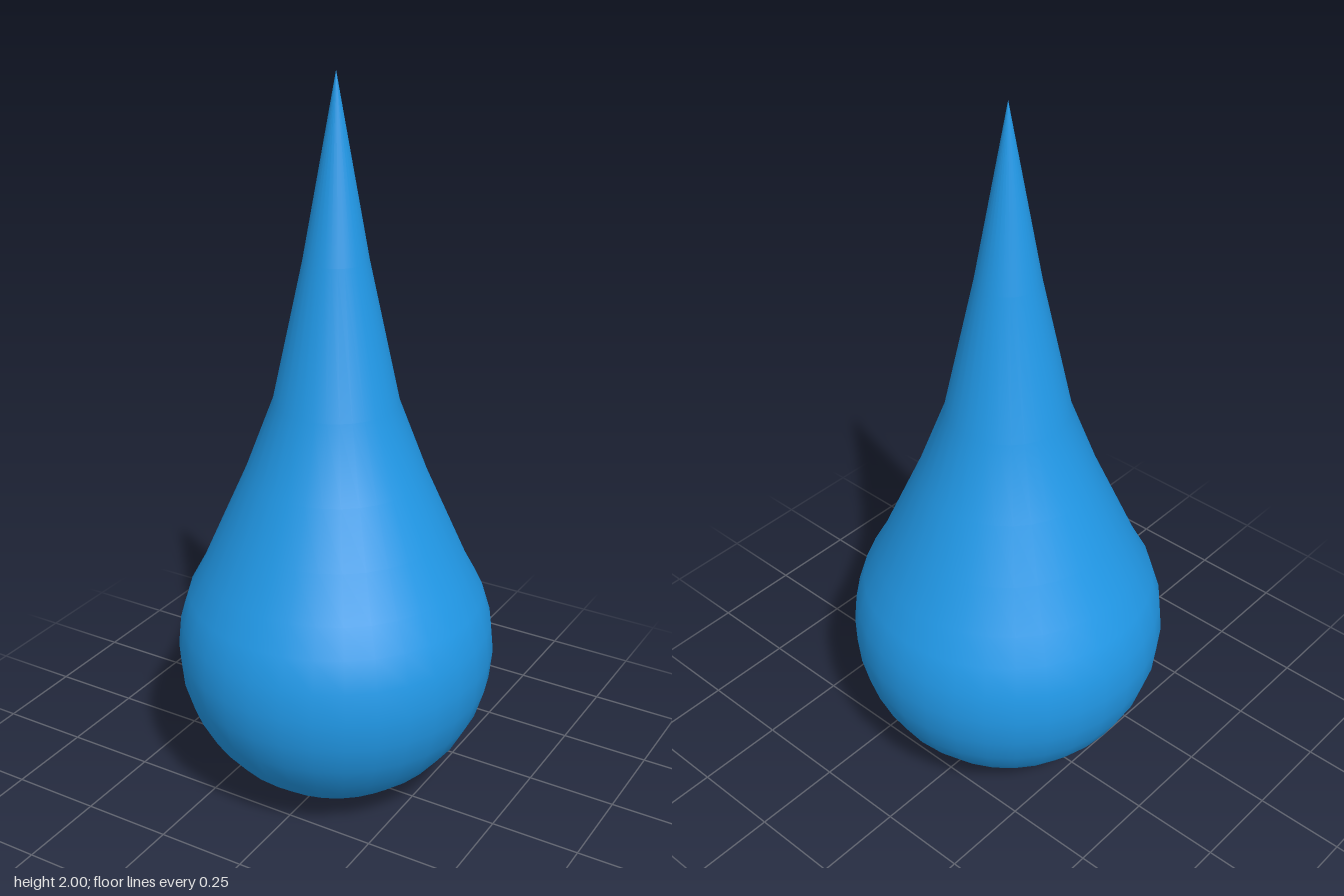
import * as THREE from 'three';

// A droplet: a round bowl whose upper rings are drawn up into a slender tip.
export function createModel() {
  const group = new THREE.Group();
  group.name = 'droplet';

  const radius = 0.435;
  const rings = 16;
  // Heights of the upper rings that leave the sphere, ending at the tip
  const neckHeights = [0.8, 0.95, 1.15, 1.53, 2];
  const firstNeckRing = rings - neckHeights.length + 1;

  const profile = [];
  for (let i = 0; i <= rings; i++) {
    const angle = (i / rings) * Math.PI;
    const r = i === 0 || i === rings ? 0 : radius * Math.sin(angle);
    const y = i < firstNeckRing
      ? radius * (1 - Math.cos(angle))
      : neckHeights[i - firstNeckRing];
    profile.push(new THREE.Vector2(r, y));
  }

  const drop = new THREE.Mesh(
    new THREE.LatheGeometry(profile, 32),
    new THREE.MeshStandardMaterial({ color: 0x2199e8 })
  );
  drop.name = 'dropBody';
  group.add(drop);

  return group;
}
